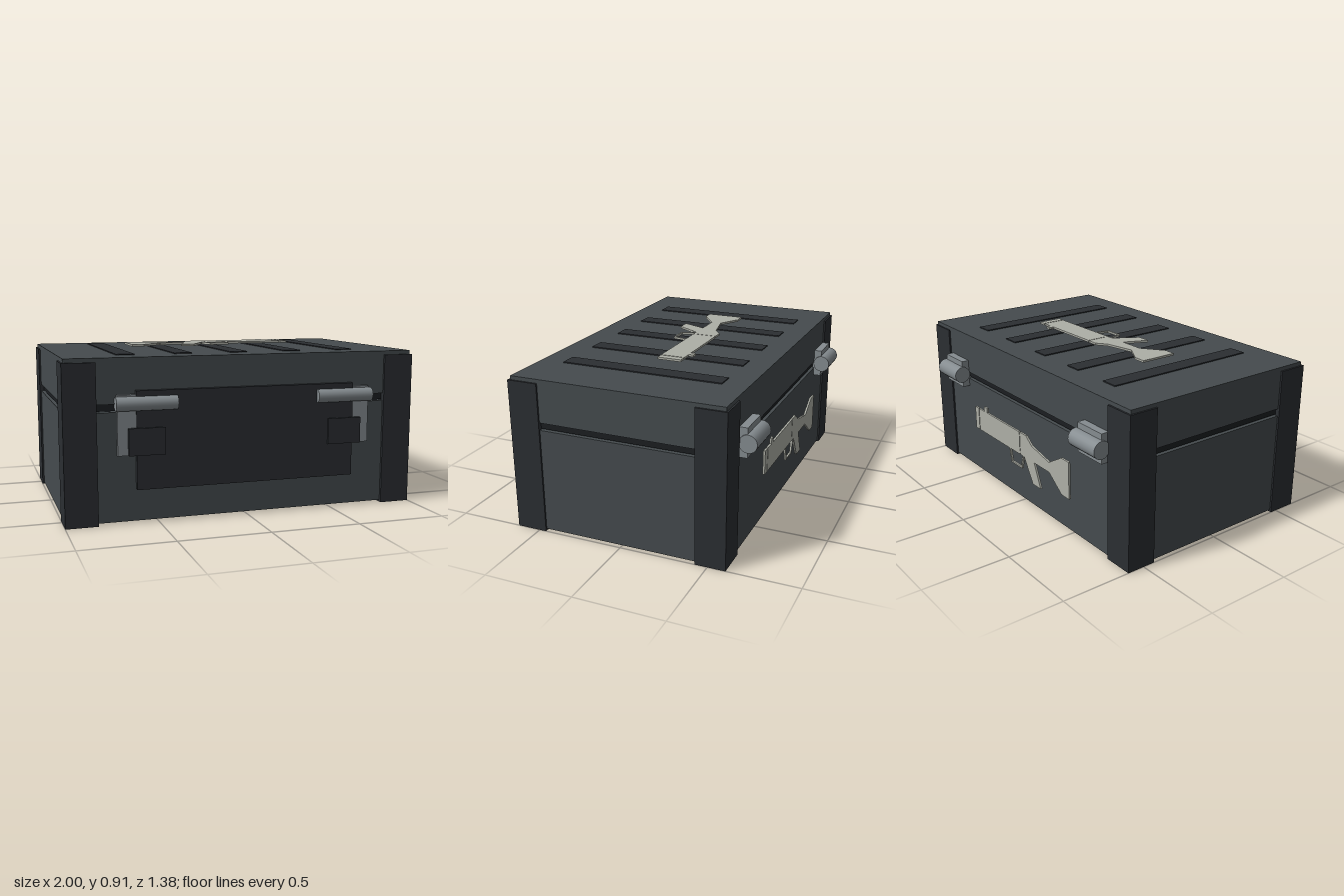
import * as THREE from 'three';

const mat = (color) => new THREE.MeshStandardMaterial({ color });

export function createModel() {
  const model = new THREE.Group();
  const shell = mat(0x454b4e), dark = mat(0x2b2e32), black = mat(0x1b1e21);
  const metal = mat(0x858c90), pale = mat(0xadafa6);

  // box given by its limits on each axis
  const box = (name, material, x0, x1, y0, y1, z0, z1) => {
    const m = new THREE.Mesh(new THREE.BoxGeometry(x1 - x0, y1 - y0, z1 - z0), material);
    m.position.set((x0 + x1) / 2, (y0 + y1) / 2, (z0 + z1) / 2);
    m.name = name;
    model.add(m);
  };
  // cylinder lying along x
  const rod = (name, x, y, z, r, length) => {
    const m = new THREE.Mesh(new THREE.CylinderGeometry(r, r, length, 20), metal);
    m.rotation.z = Math.PI / 2;
    m.position.set(x, y, z);
    m.name = name;
    model.add(m);
  };

  // case: base, recessed seal and lid
  box('base', shell, -0.99, 0.99, 0.012, 0.598, -0.59, 0.62);
  box('seal', black, -0.975, 0.975, 0.603, 0.64, -0.575, 0.605);
  box('lid', shell, -0.99, 0.99, 0.64, 0.882, -0.59, 0.622);
  for (let i = -2; i <= 2; i++) {
    box('lidRib', dark, i * 0.32 - 0.05, i * 0.32 + 0.05, 0.875, 0.888, -0.45, 0.48);
  }

  // front panel
  box('frontPanel', dark, -0.62, 0.62, 0.185, 0.71, 0.61, 0.652);

  for (const s of [-1, 1]) {
    const span = (a, b) => [Math.min(s * a, s * b), Math.max(s * a, s * b)];
    // corner posts
    box('cornerPost', dark, ...span(0.825, 1), 0, 0.86, 0.46, 0.635);
    box('cornerPost', dark, ...span(0.825, 1), 0, 0.86, -0.6, -0.43);
    // latches
    box('latchStrap', metal, ...span(0.6, 0.72), 0.37, 0.69, 0.61, 0.644);
    box('latchTab', dark, ...span(0.468, 0.665), 0.37, 0.515, 0.63, 0.664);
    rod('latchRod', s * 0.565, 0.643, 0.648, 0.038, 0.33);
    // hinges
    const hx = s * 0.713 - 0.008;
    box('hingePlate', metal, hx - 0.1, hx + 0.1, 0.55, 0.715, -0.635, -0.58);
    rod('hingeBarrel', hx, 0.632, -0.64, 0.05, 0.222);
  }

  // flat silhouette emblem, split by two narrow slits
  const shapeOf = (pts) => new THREE.Shape(pts.map(([x, y]) => new THREE.Vector2(x, y)));
  const guard = shapeOf([[-0.075, 0.012], [-0.045, -0.095], [0.07, -0.095], [0.092, 0.012]]);
  guard.holes.push(shapeOf([[-0.06, 0], [-0.036, -0.085], [0.061, -0.085], [0.079, 0]]));
  const pieces = [
    shapeOf([[-0.52, 0.12], [-0.45, 0.12], [-0.33, 0.05], [-0.16, 0.085], [-0.1, 0.13], [-0.035, 0.13],
      [-0.035, -0.01], [-0.075, -0.01], [-0.16, -0.15], [-0.24, -0.15], [-0.18, -0.01], [-0.33, -0.01],
      [-0.45, -0.1], [-0.52, -0.1]]),
    shapeOf([[-0.03, 0.13], [0.335, 0.13], [0.335, 0.16], [0.37, 0.16], [0.37, 0.13], [0.432, 0.13],
      [0.432, -0.01], [-0.03, -0.01]]),
    shapeOf([[0.438, 0.13], [0.48, 0.13], [0.48, -0.01], [0.438, -0.01]]),
    guard,
  ];
  const emblemGeometry = new THREE.ExtrudeGeometry(pieces, { depth: 0.012, bevelEnabled: false });
  const emblem = (name, y, z, tilt) => {
    const m = new THREE.Mesh(emblemGeometry, pale);
    m.position.set(0, y, z);
    m.rotation.x = tilt;
    m.name = name;
    model.add(m);
  };
  emblem('lidEmblem', 0.9, 0, -Math.PI / 2);
  emblem('backEmblem', 0.327, -0.626, 0);

  return model;
}
